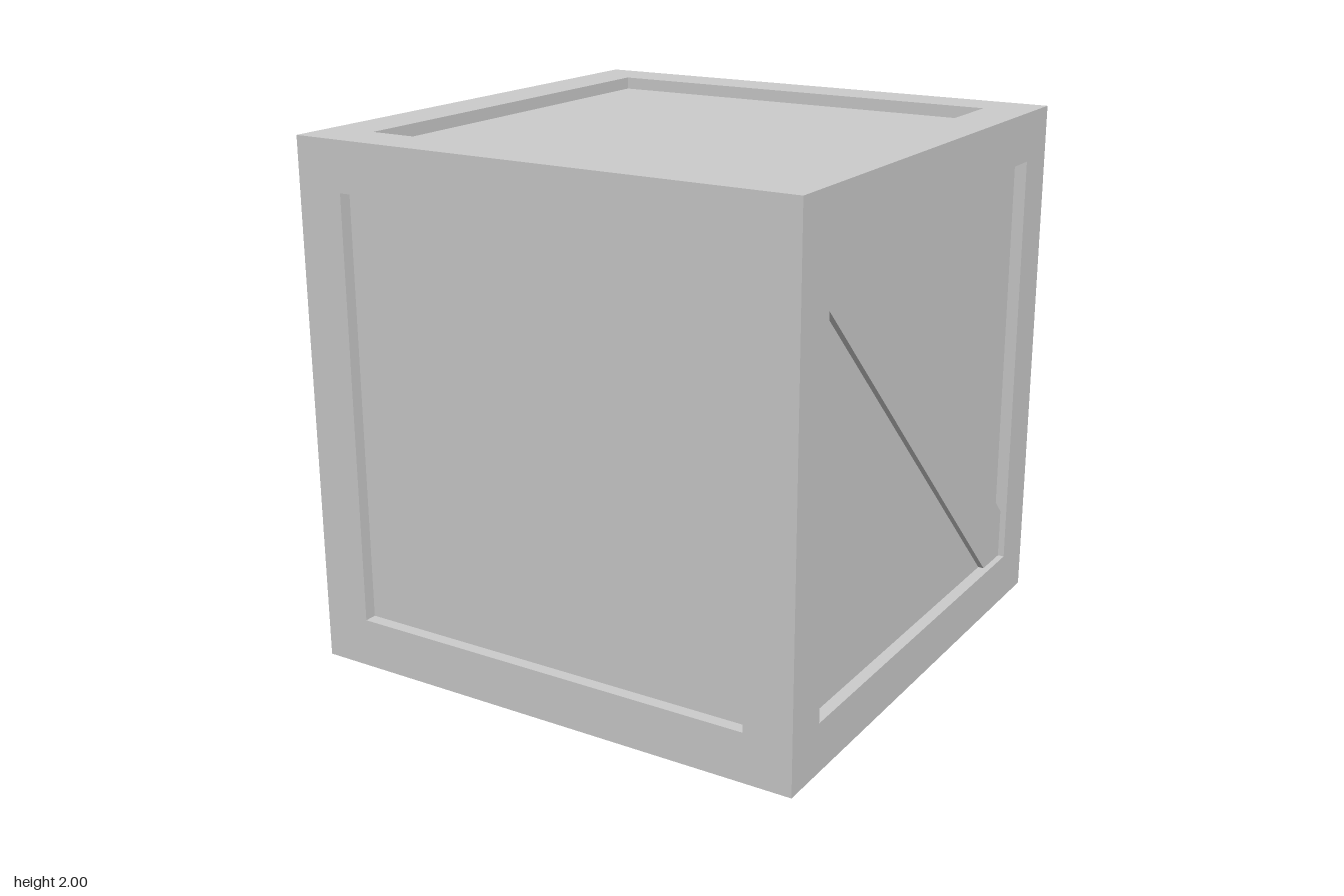
import * as THREE from 'three';

export function createModel() {
  const group = new THREE.Group();
  const mat = new THREE.MeshStandardMaterial({ color: 0xcccccc, flatShading: true });
  const W = 0.187;          // beam width
  const D = 0.047;          // depth of the sunken panels
  const C = 1 - W / 2;      // beam centre line
  const I = 1 - W;          // inner edge of the frame

  const box = (name, w, h, d, x, y, z) => {
    const mesh = new THREE.Mesh(new THREE.BoxGeometry(w, h, d), mat);
    mesh.name = name;
    mesh.position.set(x, y, z);
    group.add(mesh);
  };

  // Sunken panels on all six sides
  box('panels', 2 - 2 * D, 2 - 2 * D, 2 - 2 * D, 0, 1, 0);

  // Frame: four full-height posts with rails fitted between them
  for (const a of [-1, 1]) {
    for (const b of [-1, 1]) {
      box('cornerPost', W, 2, W, a * C, 1, b * C);
      box('crossRail', 2 * I, W, W, 0, 1 + a * C, b * C);
      box('sideRail', W, W, 2 * I, a * C, 1 + b * C, 0);
    }
  }

  // Diagonal braces on the left and right, trimmed to the frame corners
  const outline = [[-I, I], [-0.65, I], [I, -0.62], [I, -I], [0.66, -I], [-I, 0.64]];
  const shape = new THREE.Shape(outline.map(([x, y]) => new THREE.Vector2(x, y)));
  const braceGeo = new THREE.ExtrudeGeometry(shape, { depth: 0.05, bevelEnabled: false });
  for (const s of [-1, 1]) {
    const brace = new THREE.Mesh(braceGeo, mat);
    brace.name = s > 0 ? 'leftBrace' : 'rightBrace';
    brace.rotation.y = s * Math.PI / 2;
    brace.position.set(s * (1 - 0.025 - 0.05), 1, 0);
    // the outline runs from the upper left to the lower right as seen from outside
    group.add(brace);
  }
  return group;
}
